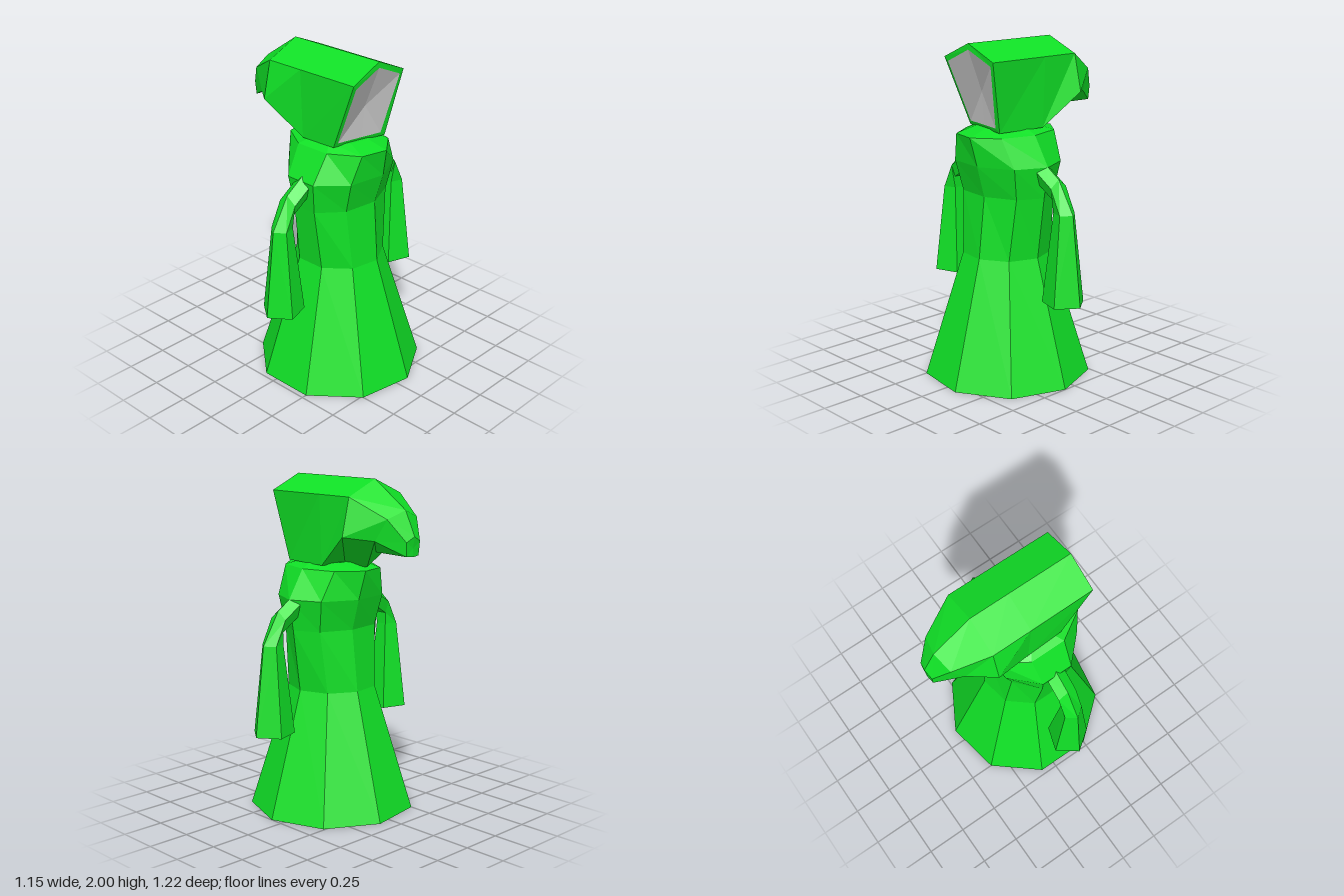
import * as THREE from 'three';

// Skin a list of equal-length point rings and close both ends with fans.
// Group 0 is the start cap, group 1 everything else.
function loft(rings, startTip) {
  const n = rings[0].length;
  const centre = (ring) => [0, 1, 2].map((k) => ring.reduce((s, p) => s + p[k], 0) / n);
  const tris = [];
  const first = rings[0], last = rings[rings.length - 1];
  const a = startTip || centre(first), b = centre(last);
  for (let i = 0; i < n; i++) tris.push([a, first[(i + 1) % n], first[i]]);
  for (let r = 0; r < rings.length - 1; r++) {
    for (let i = 0; i < n; i++) {
      const j = (i + 1) % n, p = rings[r], q = rings[r + 1];
      tris.push([p[i], p[j], q[j]], [p[i], q[j], q[i]]);
    }
  }
  for (let i = 0; i < n; i++) tris.push([b, last[i], last[(i + 1) % n]]);

  // The signed volume tells whether the faces point outwards
  const v = (p) => new THREE.Vector3(...p);
  const volume = tris.reduce((s, [p, q, r]) => s + v(p).dot(v(q).cross(v(r))), 0);
  if (volume < 0) tris.forEach((t) => t.reverse());

  const geometry = new THREE.BufferGeometry();
  geometry.setAttribute('position', new THREE.Float32BufferAttribute(tris.flat(2), 3));
  geometry.addGroup(0, n * 3, 0);
  geometry.addGroup(n * 3, (tris.length - n) * 3, 1);
  geometry.computeVertexNormals();
  return geometry;
}

export function createModel() {
  const model = new THREE.Group();
  const robeGreen = new THREE.MeshStandardMaterial({ color: 0x10e026 });
  robeGreen.name = 'robeGreen';
  const faceGrey = new THREE.MeshStandardMaterial({ color: 0xcccccc });
  faceGrey.name = 'faceGrey';

  const add = (name, geometry, material) => {
    const mesh = new THREE.Mesh(geometry, material);
    mesh.name = name;
    model.add(mesh);
  };

  // Robe: nine-sided rings given as height, x radius, z radius
  const robeRings = [
    [0, 0.5, 0.5], [0.75, 0.265, 0.265], [1.12, 0.23, 0.315],
    [1.305, 0.287, 0.345], [1.475, 0.325, 0.24], [1.51, 0.19, 0.17],
  ].map(([y, rx, rz]) => Array.from({ length: 9 }, (_, i) => {
    const angle = THREE.MathUtils.degToRad(-10 + 40 * i);
    return [0.08 + rx * Math.cos(angle), y, rz * Math.sin(angle)];
  }));
  add('robe', loft(robeRings), robeGreen);

  // Sleeves: pentagons given as outer z, y, inner z, y, half width
  const sleeve = [
    [0.24, 1.36, 0.24, 1.24, 0.05], [0.31, 1.33, 0.3, 1.21, 0.06],
    [0.43, 1.25, 0.425, 1.13, 0.06], [0.545, 1.06, 0.425, 1.06, 0.06],
    [0.61, 0.53, 0.375, 0.53, 0.12],
  ];
  for (const side of [1, -1]) {
    const rings = sleeve.map(([zo, yo, zi, yi, w]) =>
      [[0, 0], [0.38, 1], [1, 0.6], [1, -0.6], [0.38, -1]].map(([t, s]) => [
        0.08 + s * w, yo + (yi - yo) * t, side * (zo + (zi - zo) * t),
      ]));
    add(side > 0 ? 'frontSleeve' : 'backSleeve', loft(rings), robeGreen);
  }

  // Hood: rings of ridge, upper side, lower side and underside, from rim to drooping tip
  const hoodRing = (ridge, upper, lower, under) => {
    const flip = ([x, y, z]) => [x, y, -z];
    return [[...ridge, 0], upper, lower, [...under, 0], flip(lower), flip(upper)];
  };
  const inner = hoodRing([0.37, 1.965], [0.365, 1.885, 0.18], [0.215, 1.525, 0.16], [0.25, 1.525]);
  const rim = hoodRing([0.37, 2], [0.37, 1.91, 0.205], [0.2, 1.5, 0.18], [0.24, 1.5]);
  inner[4] = [0.28, 1.525, -0.125]; // the opening is cut slightly askew
  rim[4] = [0.28, 1.5, -0.16];
  const hoodRings = [
    inner,
    rim,
    hoodRing([-0.03, 2], [-0.03, 1.91, 0.207], [-0.03, 1.5, 0.19], [-0.03, 1.49]),
    hoodRing([-0.27, 2], [-0.27, 1.91, 0.208], [-0.27, 1.69, 0.26], [-0.21, 1.49]),
    hoodRing([-0.505, 1.84], [-0.48, 1.795, 0.12], [-0.41, 1.67, 0.145], [-0.28, 1.585]),
    hoodRing([-0.575, 1.7], [-0.565, 1.67, 0.055], [-0.56, 1.59, 0.05], [-0.565, 1.585]),
  ];
  // The recessed start cap is the shadowless face
  add('hoodAndFace', loft(hoodRings, [0.27, 1.72, 0]), [faceGrey, robeGreen]);

  return model;
}
